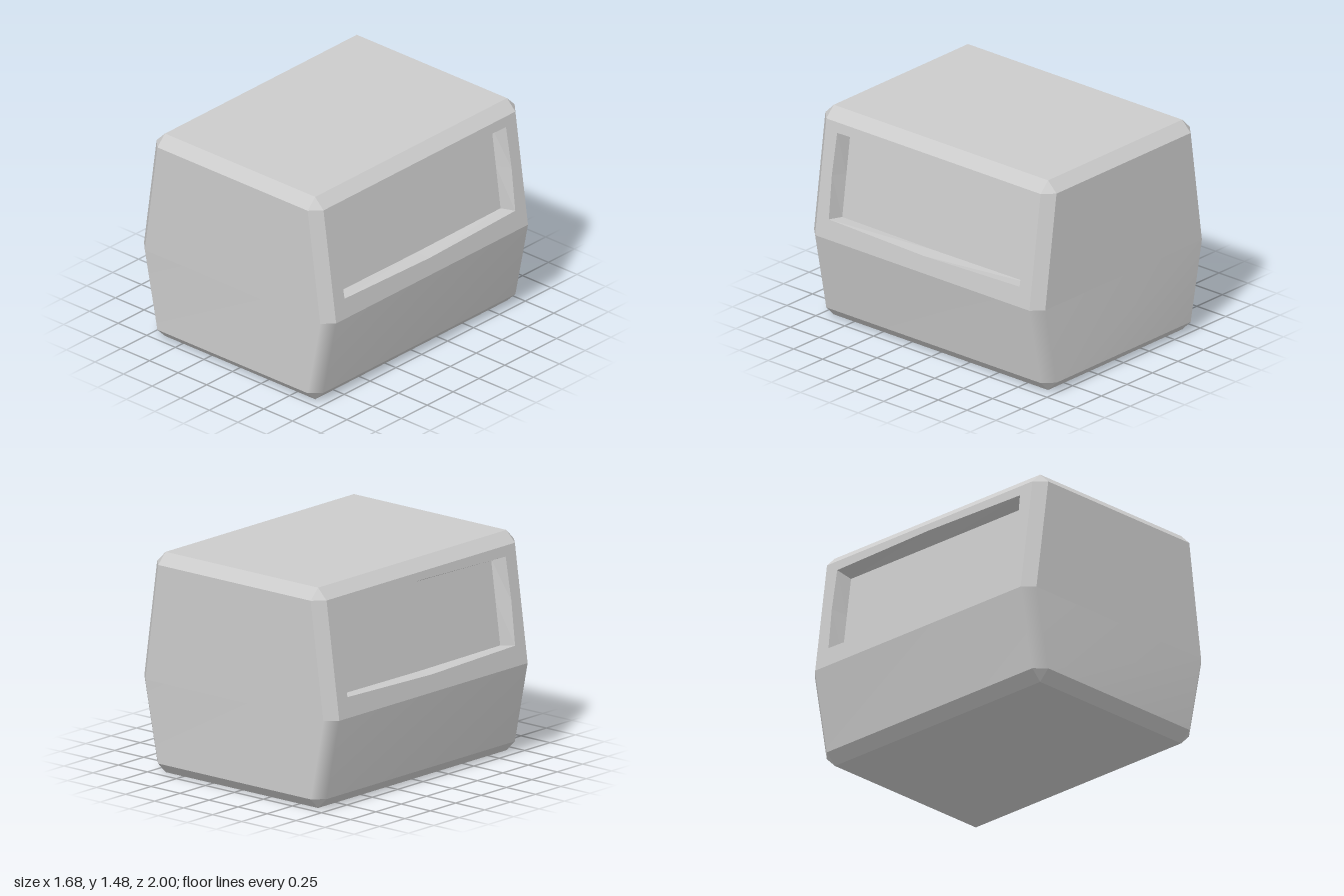
import * as THREE from 'three';
import { mergeVertices } from 'three/addons/utils/BufferGeometryUtils.js';

const material = new THREE.MeshStandardMaterial({ color: 0xcccccc });
const BEVEL = 0.073;
const WAIST = { y: 0.62, x: 0.84 }, SHOULDER = { y: 1.41, x: 0.73 };

// Chamfered rectangular ring; a closed ring shrinks to the plain inner rectangle.
function ring(y, x, closed = false) {
  const c = x - BEVEL, zi = 1 - BEVEL;
  const ox = closed ? c : x, oz = closed ? zi : 1;
  return [[-c, oz], [c, oz], [ox, zi], [ox, -zi], [c, -oz], [-c, -oz], [-ox, -zi], [-ox, zi]]
    .map(([px, pz]) => new THREE.Vector3(px, y, pz));
}

// Skin between two loops of points, optionally leaving out some faces.
function band(lower, upper, skip = []) {
  const pts = [];
  const tri = (a, b, c) => {
    if (a.distanceTo(b) > 1e-5 && b.distanceTo(c) > 1e-5 && c.distanceTo(a) > 1e-5) pts.push(a, b, c);
  };
  lower.forEach((a, i) => {
    if (skip.includes(i)) return;
    const j = (i + 1) % lower.length;
    tri(a, lower[j], upper[j]);
    tri(a, upper[j], upper[i]);
  });
  const geometry = new THREE.BufferGeometry().setFromPoints(pts);
  geometry.computeVertexNormals();
  return geometry;
}

function smooth(geometry) {
  geometry.deleteAttribute('normal');
  const merged = mergeVertices(geometry);
  merged.computeVertexNormals();
  return merged;
}

function add(parent, name, geometry) {
  const mesh = new THREE.Mesh(geometry, material);
  mesh.name = name;
  parent.add(mesh);
  return mesh;
}

// Maps flat side coordinates (u towards the back, y up) onto the leaning wall.
const lean = (WAIST.x - SHOULDER.x) / (SHOULDER.y - WAIST.y);
const onSide = (u, y, depth = 0) =>
  new THREE.Vector3(WAIST.x - (y - WAIST.y) * lean - depth, y - depth * lean, -u);

function mapToSide(shape, depth = 0) {
  const geometry = new THREE.ShapeGeometry(shape);
  const p = geometry.attributes.position;
  for (let i = 0; i < p.count; i++) {
    const v = onSide(p.getX(i), p.getY(i), depth);
    p.setXYZ(i, v.x, v.y, v.z);
  }
  geometry.computeVertexNormals();
  return geometry;
}

// Upper side wall with a slightly bowed opening and a sunken panel.
function sideWall(name) {
  const side = new THREE.Group();
  side.name = name;
  const zi = 1 - BEVEL, depth = 0.115;
  const opening = [[-0.825, 0.755], [0, 0.735], [0.825, 0.755], [0.835, 1.05],
    [0.825, 1.34], [0, 1.357], [-0.825, 1.34], [-0.835, 1.05]];
  const floor = [[-0.81, 0.755], [0, 0.75], [0.81, 0.755], [0.81, 1.05],
    [0.81, 1.326], [0, 1.326], [-0.81, 1.326], [-0.81, 1.05]];
  const toV2 = (list) => list.map(([u, y]) => new THREE.Vector2(u, y));

  const frame = new THREE.Shape(toV2([[-zi, WAIST.y], [zi, WAIST.y], [zi, SHOULDER.y], [-zi, SHOULDER.y]]));
  frame.holes.push(new THREE.Path(toV2(opening)));
  add(side, 'windowFrame', mapToSide(frame));
  add(side, 'windowPanel', mapToSide(new THREE.Shape(toV2(floor)), depth));
  add(side, 'windowReveal', band(
    opening.map(([u, y]) => onSide(u, y)),
    floor.map(([u, y]) => onSide(u, y, depth))));
  return side;
}

// Flat rectangle closing the top or bottom.
function cap(y, up) {
  const c = SHOULDER.x - BEVEL;
  const geometry = new THREE.PlaneGeometry(2 * c, 2 * (1 - BEVEL));
  geometry.rotateX(up ? -Math.PI / 2 : Math.PI / 2);
  return geometry.translate(0, y, 0);
}

export function createModel() {
  const model = new THREE.Group();
  model.name = 'housing';

  const bottom = ring(0, SHOULDER.x, true);
  const foot = ring(0.073, SHOULDER.x);
  const waist = ring(WAIST.y, WAIST.x);
  const shoulder = ring(SHOULDER.y, SHOULDER.x);
  const top = ring(1.483, SHOULDER.x, true);

  add(model, 'base', cap(0, false));
  add(model, 'bottomBevel', band(bottom, foot));
  add(model, 'lowerBody', smooth(band(foot, waist)));
  add(model, 'upperBody', band(waist, shoulder, [2, 6]));
  add(model, 'topBevel', band(shoulder, top));
  add(model, 'roof', cap(1.483, true));

  // Both side walls are the same, turned half way round.
  const left = sideWall('leftWindow');
  const right = sideWall('rightWindow');
  right.rotation.y = Math.PI;
  model.add(left, right);
  return model;
}
